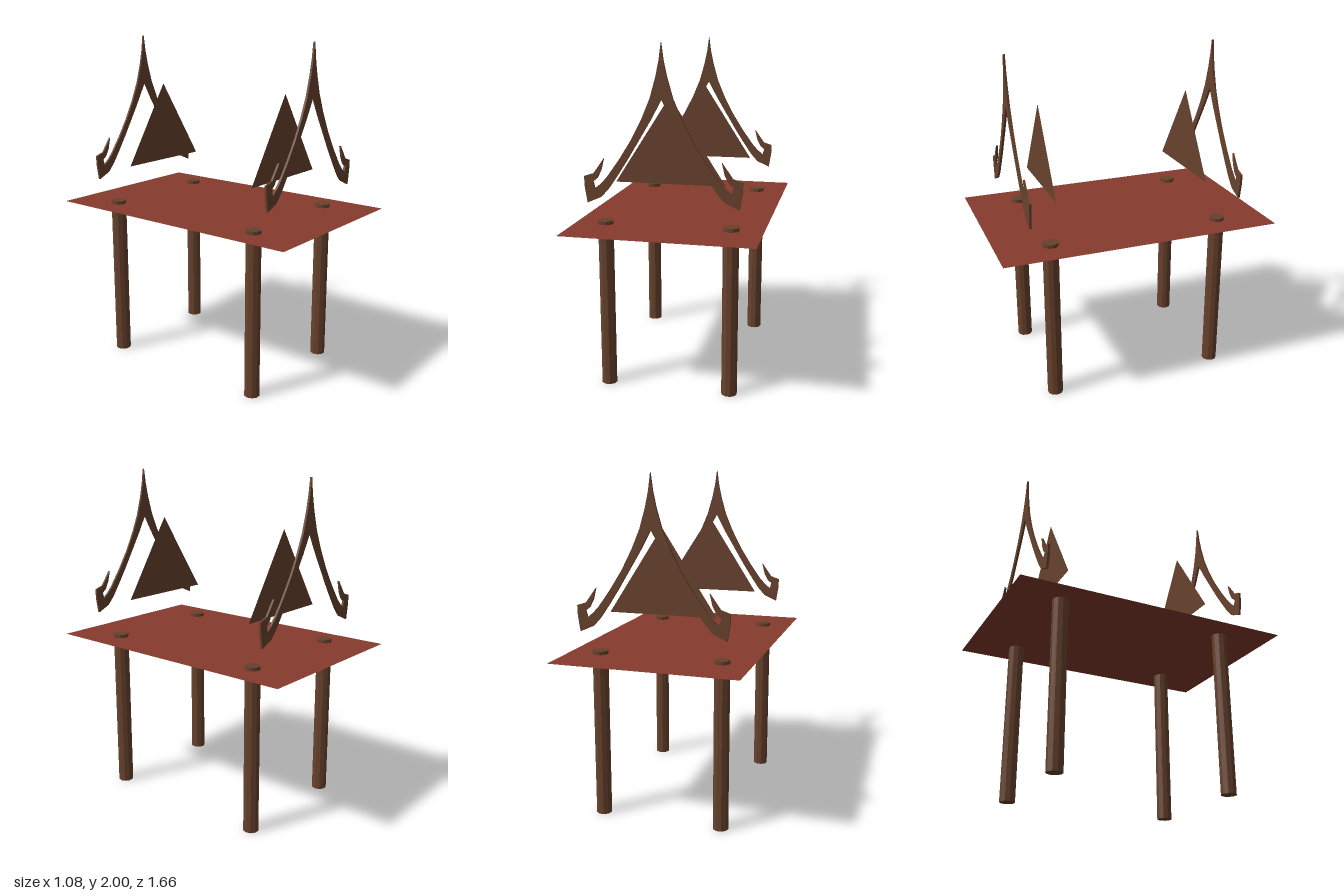
import * as THREE from 'three';

const wood = new THREE.MeshStandardMaterial({ name: 'brown wood', color: 0x67412c });
const woodSheet = wood.clone(); // same brown, seen from both sides
woodSheet.side = THREE.DoubleSide;
const red = new THREE.MeshStandardMaterial({ name: 'red deck', color: 0x863a2d, side: THREE.DoubleSide });

// Right half of the gable frame: outer sweep, curled end, then inner edge
const outer = [
  [0, 2], [0.012, 1.91], [0.03, 1.825], [0.063, 1.71], [0.11, 1.6], [0.17, 1.485],
  [0.24, 1.375], [0.31, 1.278], [0.345, 1.24], [0.38, 1.212],
];
const curl = [
  [0.39, 1.25], [0.365, 1.27], [0.342, 1.315], [0.326, 1.38],
  [0.358, 1.335], [0.386, 1.296], [0.44, 1.278], [0.438, 1.22], [0.424, 1.13],
];
const inner = [
  [0.345, 1.165], [0.3, 1.215], [0.245, 1.295], [0.19, 1.38], [0.127, 1.484], [0.06, 1.595],
];

function createFrameGeometry(depth) {
  const half = [...outer, ...curl, ...inner];
  const mirrored = half.slice(1).reverse().map(([x, y]) => [-x, y]);
  const points = [...half, [0, 1.705], ...mirrored].map(([x, y]) => new THREE.Vector2(x, y));
  const geometry = new THREE.ExtrudeGeometry(new THREE.Shape(points), { depth, bevelEnabled: false });
  return geometry.translate(0, 0, -depth / 2);
}

export function createModel() {
  const model = new THREE.Group();
  model.name = 'pavilion';

  const add = (name, geometry, material, x, y, z) => {
    const mesh = new THREE.Mesh(geometry, material);
    mesh.name = name;
    mesh.position.set(x, y, z);
    model.add(mesh);
    return mesh;
  };

  // Flat deck
  add('deck', new THREE.PlaneGeometry(1.084, 1.665).rotateX(-Math.PI / 2), red, 0, 0.98, 0);

  // Four faceted posts, reaching just above the deck
  const post = new THREE.CylinderGeometry(0.046, 0.046, 1, 10).rotateY(Math.PI / 2).toNonIndexed();
  post.computeVertexNormals();
  for (const [side, x] of [['left', 0.358], ['right', -0.367]]) {
    for (const [end, z] of [['Front', 0.518], ['Back', -0.532]]) {
      add(`${side}${end}Post`, post, wood, x, 0.5, z);
    }
  }

  // Curled gable frames with triangular panels set inside them
  const frame = createFrameGeometry(0.013);
  const panel = new THREE.ShapeGeometry(new THREE.Shape([
    new THREE.Vector2(-0.317, 1.215), new THREE.Vector2(0.317, 1.215), new THREE.Vector2(0, 1.705),
  ]));
  add('frontGableFrame', frame, wood, 0, 0, 0.645);
  add('backGableFrame', frame, wood, 0, 0, -0.64);
  add('frontGablePanel', panel, woodSheet, 0, 0, 0.465);
  add('backGablePanel', panel, woodSheet, 0, 0, -0.47);

  return model;
}
